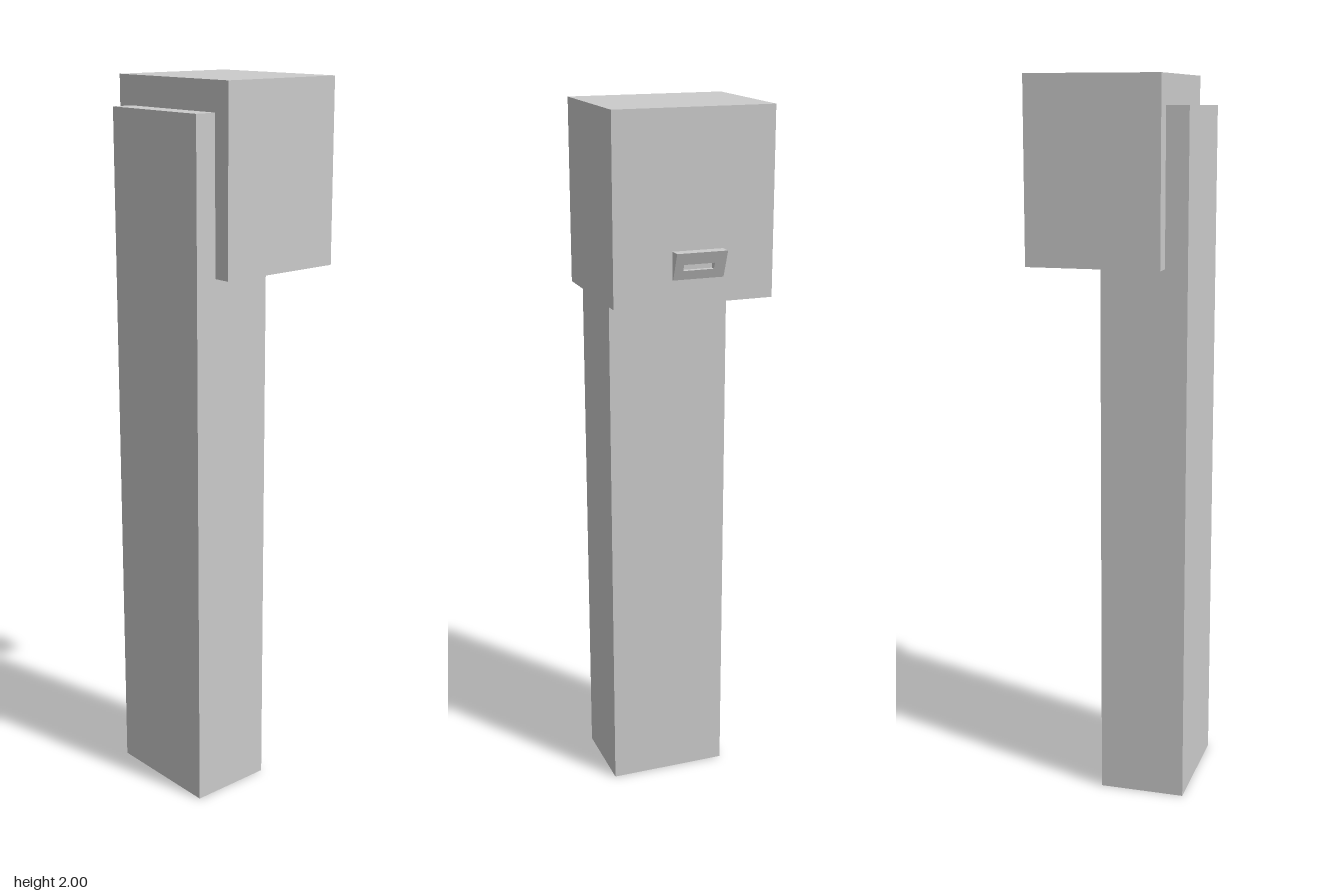
import * as THREE from 'three';

const material = new THREE.MeshStandardMaterial({ color: 0xcccccc, flatShading: true });

// Box given by its minimum and maximum corners
function box(name, min, max) {
  const size = max.map((v, i) => v - min[i]);
  const mesh = new THREE.Mesh(new THREE.BoxGeometry(...size), material);
  mesh.position.set(...max.map((v, i) => (v + min[i]) / 2));
  mesh.name = name;
  return mesh;
}

function rectangle(PathType, x0, x1, y0, y1) {
  return new PathType([[x0, y0], [x1, y0], [x1, y1], [x0, y1]].map(p => new THREE.Vector2(...p)));
}

// Wedge-shaped spout with a slot, thicker at the top than at the bottom
function createSpout(faceX) {
  const bottom = 1.566, top = 1.64;
  const shape = rectangle(THREE.Shape, -0.06, 0.08, bottom, top);
  shape.holes.push(rectangle(THREE.Path, -0.036, 0.049, 1.591, 1.608));
  const geometry = new THREE.ExtrudeGeometry(shape, { depth: 1, bevelEnabled: false });
  geometry.rotateY(Math.PI / 2);
  const p = geometry.attributes.position;
  for (let i = 0; i < p.count; i++) {
    const t = (p.getY(i) - bottom) / (top - bottom);
    p.setX(i, faceX + p.getX(i) * THREE.MathUtils.lerp(0.005, 0.034, t));
  }
  geometry.computeVertexNormals();
  const mesh = new THREE.Mesh(geometry, material);
  mesh.name = 'spout';
  return mesh;
}

export function createModel() {
  const model = new THREE.Group();
  model.name = 'postWithHead';
  model.add(
    box('post', [-0.234, 0, -0.171], [0.005, 1.92, 0.171]),
    box('head', [-0.172, 1.5, -0.221], [0.199, 2, 0.221]),
    createSpout(0.199),
  );
  return model;
}
